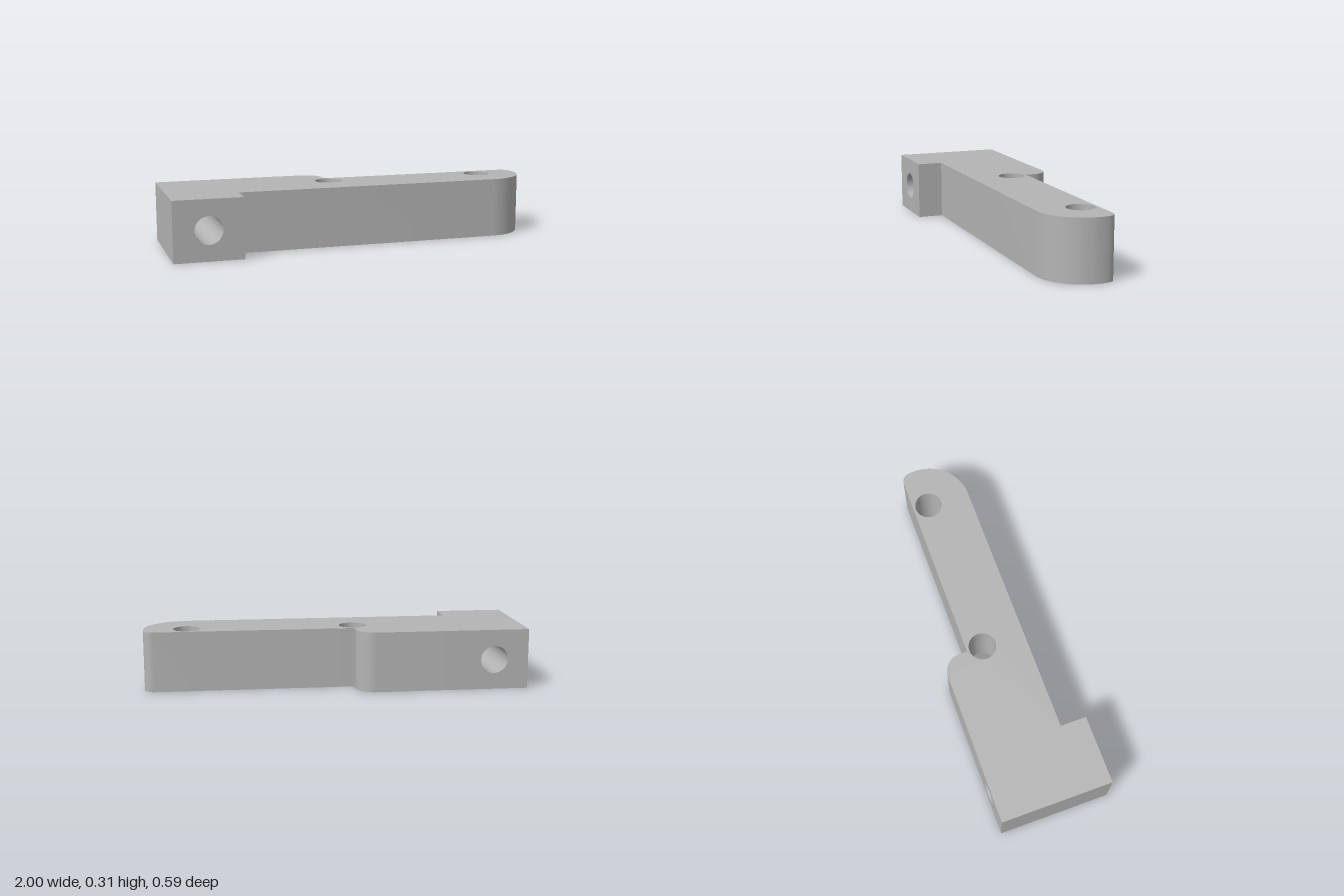
import * as THREE from 'three';
import { toCreasedNormals } from 'three/addons/utils/BufferGeometryUtils.js';

const H = 0.315;        // thickness
const D = 0.295;        // half depth of the end block
const ARM = 0.157;      // half depth of the arm
const JOIN = -0.64;     // plane where end block meets the arm
const HOLE = 0.072;     // bore radius

function addHole(shape, x, y) {
  shape.holes.push(new THREE.Path().absarc(x, y, HOLE, 0, Math.PI * 2, true));
}

function extrude(shape, depth) {
  return new THREE.ExtrudeGeometry(shape, { depth, bevelEnabled: false, curveSegments: 32 });
}

// Smooth the curves and drop the wall hidden inside the joint
function finish(geometry) {
  const g = toCreasedNormals(geometry, Math.PI / 6);
  const p = g.attributes.position;
  const keep = [];
  for (let i = 0; i < p.count; i += 3) {
    const onJoin = [0, 1, 2].every(k => Math.abs(p.getX(i + k) - JOIN) < 1e-4);
    if (!onJoin) keep.push(i, i + 1, i + 2);
  }
  g.setIndex(keep);
  g.clearGroups();
  return g;
}

export function createModel() {
  const group = new THREE.Group();
  group.name = 'mountingArm';
  const metal = new THREE.MeshStandardMaterial({ color: 0xb4b4b4 });
  metal.name = 'plain grey';

  const add = (name, geometry) => {
    const mesh = new THREE.Mesh(geometry, metal);
    mesh.name = name;
    group.add(mesh);
  };

  // Arm: plan outline (shape y is -z) with rounded tip, rounded back step and two upright bores
  const tipX = 0.773, tipY = 0.07, tipR = 0.227;
  const filletR = 0.05, filletY = ARM - filletR;
  const a = Math.asin((filletY - tipY) / (tipR - filletR));
  const filletX = tipX + (tipR - filletR) * Math.cos(a);
  const arm = new THREE.Shape();
  arm.moveTo(JOIN, -ARM);
  arm.lineTo(tipX, -ARM);
  arm.absarc(tipX, tipY, tipR, -Math.PI / 2, a, false);
  arm.absarc(filletX, filletY, filletR, a, Math.PI / 2, false);
  arm.lineTo(-0.1, ARM);
  arm.lineTo(-0.1, D - 0.095);
  arm.absarc(-0.195, D - 0.095, 0.095, 0, Math.PI / 2, false);
  arm.lineTo(JOIN, D);
  arm.closePath();
  addHole(arm, -0.1, 0.072);
  addHole(arm, tipX, 0.072);
  add('arm', finish(extrude(arm, H).rotateX(-Math.PI / 2)));

  // End block: front outline with a bore running front to back
  const block = new THREE.Shape();
  block.moveTo(-1, 0);
  block.lineTo(JOIN, 0);
  block.lineTo(JOIN, H);
  block.lineTo(-1, H);
  block.closePath();
  addHole(block, -0.82, H / 2);
  add('endBlock', finish(extrude(block, 2 * D).translate(0, 0, -D)));

  // Exposed shoulder of the end block in front of the arm
  add('shoulder', new THREE.PlaneGeometry(D - ARM, H)
    .rotateY(Math.PI / 2)
    .translate(JOIN, H / 2, (D + ARM) / 2));

  return group;
}
